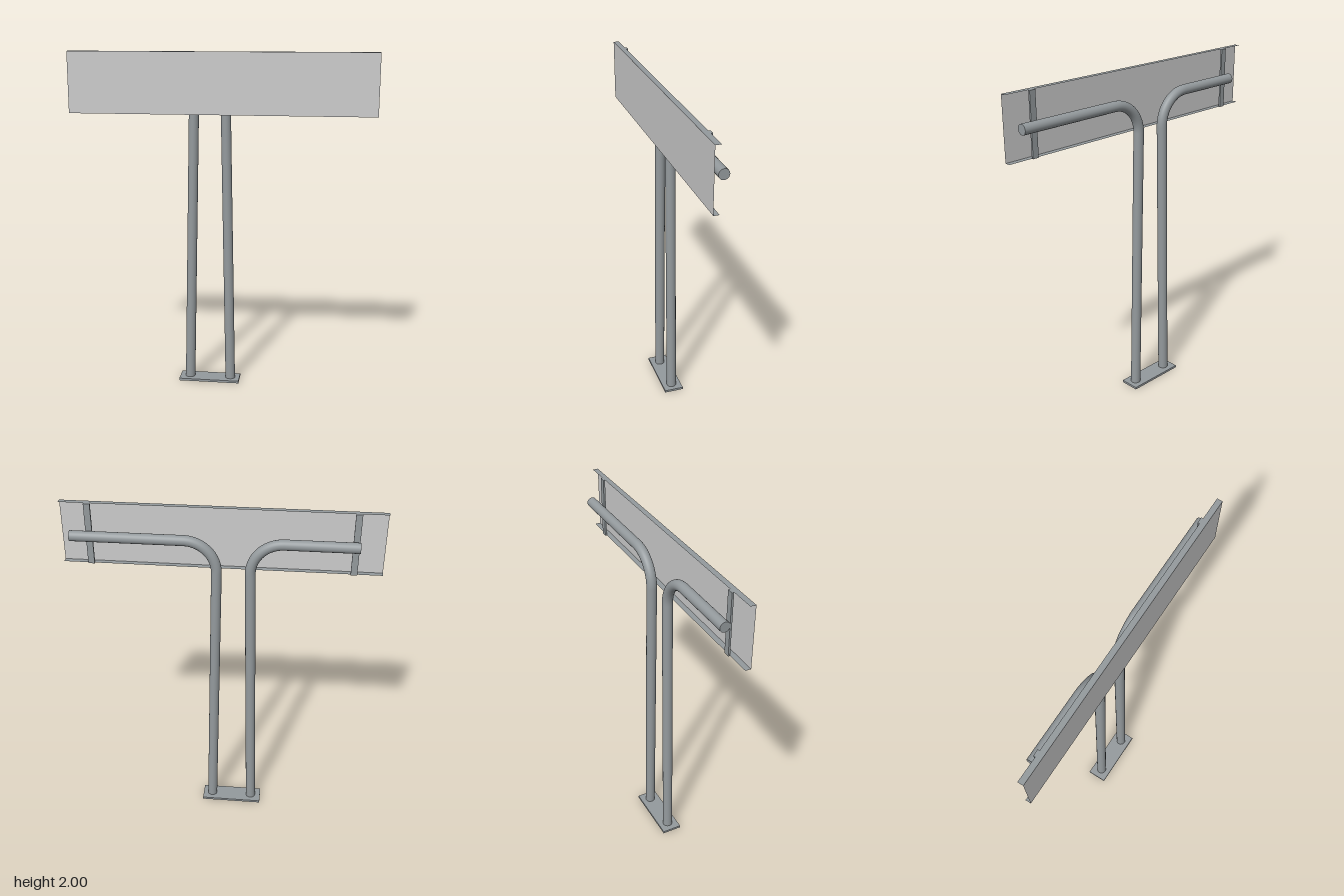
import * as THREE from 'three';

const metal = new THREE.MeshStandardMaterial({ color: 0x949a9d, side: THREE.DoubleSide });
metal.name = 'galvanisedMetal';
const face = new THREE.MeshStandardMaterial({ color: 0xcccccc, side: THREE.DoubleSide });
face.name = 'panelGrey';

const PANEL = { width: 1.776, bottom: 1.645, top: 2, front: 0.065, lip: 0.032 };
const TUBE = { radius: 0.0295, z: -0.007, armY: 1.823, bend: 0.18 };

function add(group, name, geometry, material, x, y, z) {
  const mesh = new THREE.Mesh(geometry, material);
  mesh.name = name;
  mesh.position.set(x, y, z);
  group.add(mesh);
  return mesh;
}

// Leaning leg that bends outwards into a level arm
function bentPost(name, footX, topX, endX) {
  const group = new THREE.Group();
  group.name = name;
  const { radius, z, armY, bend } = TUBE;
  const dir = Math.sign(endX - topX);
  const k = bend * 0.45;
  const point = (x, y) => new THREE.Vector3(x, y, z);
  const foot = point(footX, 0.01);
  const bendStart = point(topX, armY - bend);
  const bendEnd = point(topX + dir * bend, armY);
  const end = point(endX, armY);

  const path = new THREE.CurvePath();
  path.add(new THREE.LineCurve3(foot, bendStart));
  path.add(new THREE.CubicBezierCurve3(
    bendStart, point(topX, armY - k), point(topX + dir * k, armY), bendEnd));
  path.add(new THREE.LineCurve3(bendEnd, end));
  add(group, name + 'Tube', new THREE.TubeGeometry(path, 120, radius, 24), metal, 0, 0, 0);

  // Closed end of the arm
  const cap = add(group, name + 'EndCap', new THREE.CircleGeometry(radius, 24), metal, endX, armY, z);
  cap.rotation.y = dir * Math.PI / 2;
  return group;
}

export function createModel() {
  const model = new THREE.Group();
  model.name = 'signStand';

  // Foot plate
  add(model, 'basePlate', new THREE.BoxGeometry(0.367, 0.014, 0.118), metal, -0.075, 0.007, -0.007);

  // Posts
  model.add(bentPost('rightPost', -0.197, -0.164, -0.75));
  model.add(bentPost('leftPost', 0.052, 0.023, 0.83));

  // Sheet panel with folded top and bottom lips
  const height = PANEL.top - PANEL.bottom;
  const midY = (PANEL.top + PANEL.bottom) / 2;
  add(model, 'panelFace', new THREE.PlaneGeometry(PANEL.width, height), face, 0, midY, PANEL.front);
  for (const [name, y, turn] of [['topLip', PANEL.top, -1], ['bottomLip', PANEL.bottom, 1]]) {
    const lip = add(model, name, new THREE.PlaneGeometry(PANEL.width, PANEL.lip), metal,
      0, y, PANEL.front - PANEL.lip / 2);
    lip.rotation.x = turn * Math.PI / 2;
  }

  // Upright straps joining the arms to the panel
  for (const side of [-1, 1]) {
    add(model, side > 0 ? 'leftStrap' : 'rightStrap',
      new THREE.BoxGeometry(0.036, height, 0.011), metal, side * 0.729, midY, 0.0275);
  }
  return model;
}
